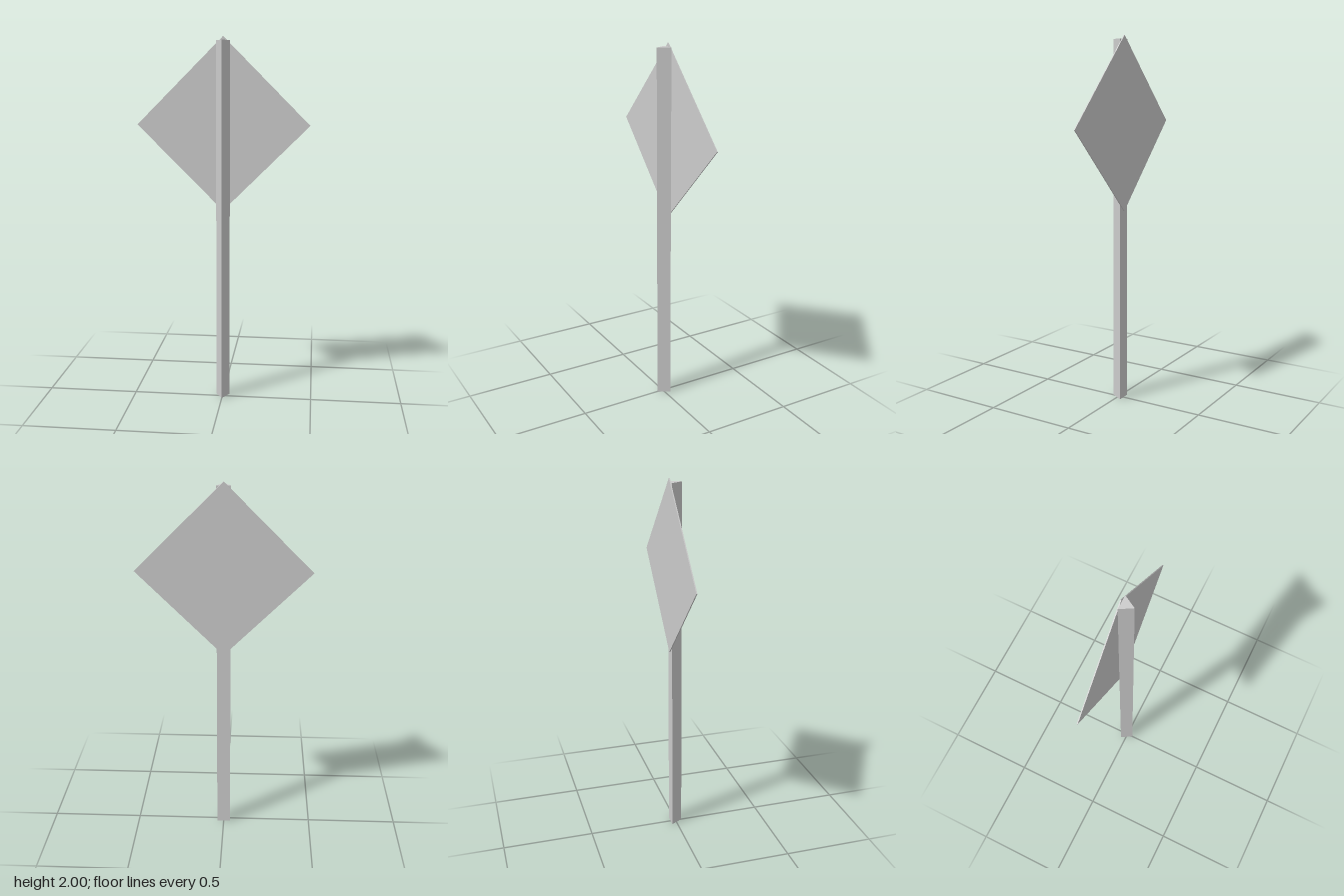
import * as THREE from 'three';

export function createModel() {
  const group = new THREE.Group();
  const material = new THREE.MeshStandardMaterial({ color: 0xcccccc, flatShading: true });

  const add = (name, geometry, x, y, z) => {
    const mesh = new THREE.Mesh(geometry, material);
    mesh.name = name;
    mesh.position.set(x, y, z);
    group.add(mesh);
    return mesh;
  };

  // Three-sided post, one edge facing the front
  const radius = 0.043, height = 1.98, front = 0.035;
  add('post', new THREE.CylinderGeometry(radius, radius, height, 3), 0, height / 2, front - radius);

  // Thin square sign plate standing on its corner, fixed to the flat back of the post
  const halfDiagonal = 0.466, thickness = 0.0055;
  const side = halfDiagonal * Math.SQRT2;
  const plate = add('signPlate', new THREE.BoxGeometry(side, side, thickness),
    0, 2 - halfDiagonal, front - 1.5 * radius - thickness / 2);
  plate.rotation.z = Math.PI / 4;

  return group;
}
